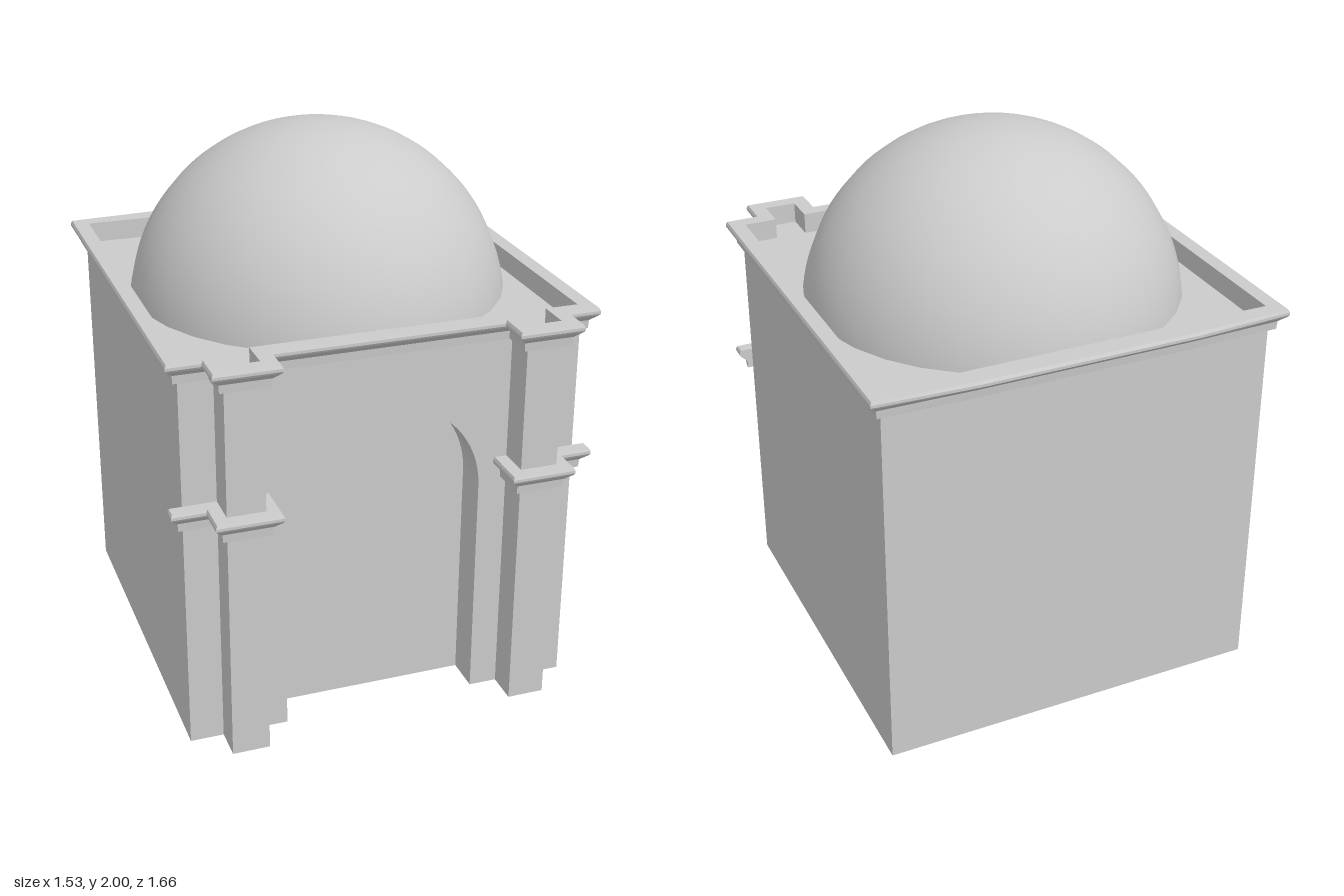
import * as THREE from 'three';

const W = 0.715, BACK = -0.76, FRONT = 0.665, PIER = 0.785; // plan of the walls
const P_IN = 0.46, P_OUT = 0.595;                           // pilaster sides
const H = 1.395, NICHE = 0.53;                              // wall height, niche back

const stone = new THREE.MeshStandardMaterial({ color: 0xcccccc });

function add(parent, name, geometry, x = 0, y = 0, z = 0) {
  const mesh = new THREE.Mesh(geometry, stone);
  mesh.name = name;
  mesh.position.set(x, y, z);
  parent.add(mesh);
  return mesh;
}

// Sweep a moulding profile of [offset, y] along a plan path given by plan(offset) -> [x, z]
function sweep(profile, plan, closed) {
  const rings = profile.map(([d, y]) => plan(d).map(([x, z]) => [x, y, z]));
  const pos = [];
  const tri = (a, b, c) => pos.push(...a, ...b, ...c);
  const n = rings[0].length, m = rings.length;
  for (let i = 0; i < m; i++) {
    const lo = rings[i], hi = rings[(i + 1) % m];
    for (let j = 0; j < (closed ? n : n - 1); j++) {
      const k = (j + 1) % n;
      tri(lo[j], lo[k], hi[k]);
      tri(lo[j], hi[k], hi[j]);
    }
  }
  // End caps of an open run
  if (!closed) {
    for (let i = 0; i < m - 2; i++) {
      tri(rings[m - 1][0], rings[i][0], rings[i + 1][0]);
      tri(rings[m - 1][n - 1], rings[i + 1][n - 1], rings[i][n - 1]);
    }
  }
  const g = new THREE.BufferGeometry();
  g.setAttribute('position', new THREE.Float32BufferAttribute(pos, 3));
  g.computeVertexNormals();
  return g;
}

// Shared moulding section, inner edge at the given offset
function moulding(y, inner) {
  return [[inner, 0], [0.02, 0], [0.022, 0.03], [0.028, 0.036], [0.045, 0.052], [0.05, 0.06],
    [0.05, 0.07], [0.045, 0.08], [inner, 0.08]].map(([d, h]) => [d, y + h]);
}

const mirror = (pts) => pts.map(([x, z]) => [-x, z]).reverse();

// Front half of the cornice line, stepping around the left pilaster
const frontLeft = (d) => [
  [P_IN - d, FRONT + d], [P_IN - d, PIER + d], [P_OUT + d, PIER + d],
  [P_OUT + d, FRONT + d], [W + d, FRONT + d],
];

function cornicePlan(d) {
  // The rear run projects further along its middle
  const rear = [[W + d, BACK - d], [0.4, BACK - 1.4 * d]];
  return [...mirror(frontLeft(d)), ...frontLeft(d), ...rear, ...mirror(rear)];
}

function bandPlan(d) {
  const pts = frontLeft(d);
  pts[0] = [P_IN - d, FRONT];
  return [...pts, [W + d, FRONT]];
}

export function createModel() {
  const model = new THREE.Group();
  model.name = 'domedPavilion';

  // Main block behind the niche
  const depth = NICHE - BACK;
  add(model, 'mainBlock', new THREE.BoxGeometry(2 * W, H, depth), 0, H / 2, BACK + depth / 2);

  // Front wall cut by the round-headed niche
  const r = 0.357, spring = 0.835;
  const wall = new THREE.Shape();
  wall.moveTo(-W, 0);
  wall.lineTo(-r, 0);
  wall.lineTo(-r, spring);
  wall.absarc(0, spring, r, Math.PI, 0, true);
  wall.lineTo(r, 0);
  wall.lineTo(W, 0);
  wall.lineTo(W, H);
  wall.lineTo(-W, H);
  wall.closePath();
  add(model, 'archedFrontWall', new THREE.ExtrudeGeometry(wall, {
    depth: FRONT - NICHE, bevelEnabled: false, curveSegments: 32,
  }), 0, 0, NICHE);

  // Pilasters and their half-height bands
  for (const [side, s] of [['left', 1], ['right', -1]]) {
    add(model, side + 'Pilaster', new THREE.BoxGeometry(P_OUT - P_IN, H, PIER - FRONT),
      s * (P_IN + P_OUT) / 2, H / 2, (FRONT + PIER) / 2);
    const plan = s > 0 ? bandPlan : (d) => mirror(bandPlan(d));
    add(model, side + 'PilasterBand', sweep(moulding(0.858, 0), plan, false));
  }

  // Cornice standing above the roof as a low parapet
  add(model, 'cornice', sweep(moulding(1.392, -0.01), cornicePlan, true));

  // Dome: spherical cap rising from the roof
  const R = 0.69, cy = 2 - R;
  add(model, 'dome', new THREE.SphereGeometry(R, 32, 24, 0, Math.PI * 2, 0, Math.acos((H - cy) / R)),
    0, cy, -0.05);

  return model;
}
